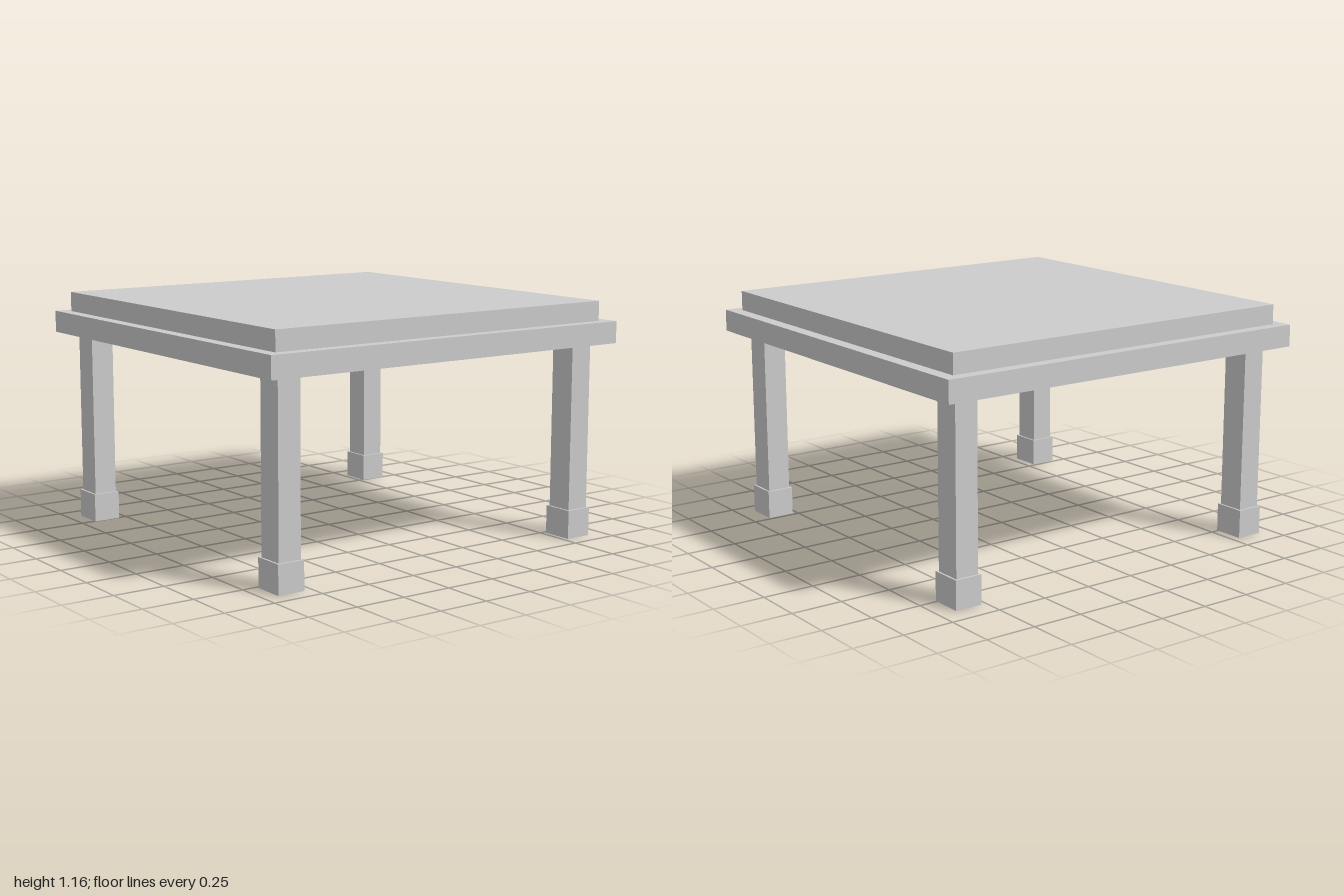
import * as THREE from 'three';

const material = new THREE.MeshStandardMaterial({ color: 0xcccccc, flatShading: true });
const sheet = new THREE.MeshStandardMaterial({ color: 0xcccccc, flatShading: true, side: THREE.DoubleSide });

// Box given by its min and max corners
function box(name, [x0, y0, z0], [x1, y1, z1]) {
  const mesh = new THREE.Mesh(new THREE.BoxGeometry(x1 - x0, y1 - y0, z1 - z0), material);
  mesh.position.set((x0 + x1) / 2, (y0 + y1) / 2, (z0 + z1) / 2);
  mesh.name = name;
  return mesh;
}

export function createModel() {
  const table = new THREE.Group();
  table.name = 'table';

  const apronBottom = 0.953, deckY = 1.06, topY = 1.157;
  const halfX = 1, halfZ = 0.984;

  // Raised table top
  table.add(box('tableTop', [-0.94, deckY, -0.926], [0.937, topY, 0.926]));

  // Thin deck, with the apron hanging from its edge and open below
  const deck = new THREE.Mesh(new THREE.PlaneGeometry(2 * halfX, 2 * halfZ).rotateX(-Math.PI / 2), sheet);
  deck.position.y = deckY;
  deck.name = 'deck';
  table.add(deck);

  const apron = new THREE.Group();
  apron.name = 'apron';
  for (let i = 0; i < 4; i++) {
    const alongX = i % 2 === 0;
    const wall = new THREE.PlaneGeometry(2 * (alongX ? halfX : halfZ), deckY - apronBottom);
    wall.translate(0, (deckY + apronBottom) / 2, alongX ? halfZ : halfX);
    const mesh = new THREE.Mesh(wall, sheet);
    mesh.rotation.y = i * Math.PI / 2;
    mesh.name = 'apronSide';
    apron.add(mesh);
  }
  table.add(apron);

  // Four square legs reaching up to the deck, each on a wider foot block
  for (const x of [-0.86, 0.843]) {
    for (const z of [-0.821, 0.843]) {
      const leg = new THREE.Group();
      leg.name = (z > 0 ? 'front' : 'back') + (x > 0 ? 'Left' : 'Right') + 'Leg';
      leg.add(box('post', [x - 0.058, 0.14, z - 0.067], [x + 0.058, deckY, z + 0.067]));
      leg.add(box('foot', [x - 0.068, 0, z - 0.078], [x + 0.068, 0.14, z + 0.078]));
      table.add(leg);
    }
  }
  return table;
}
